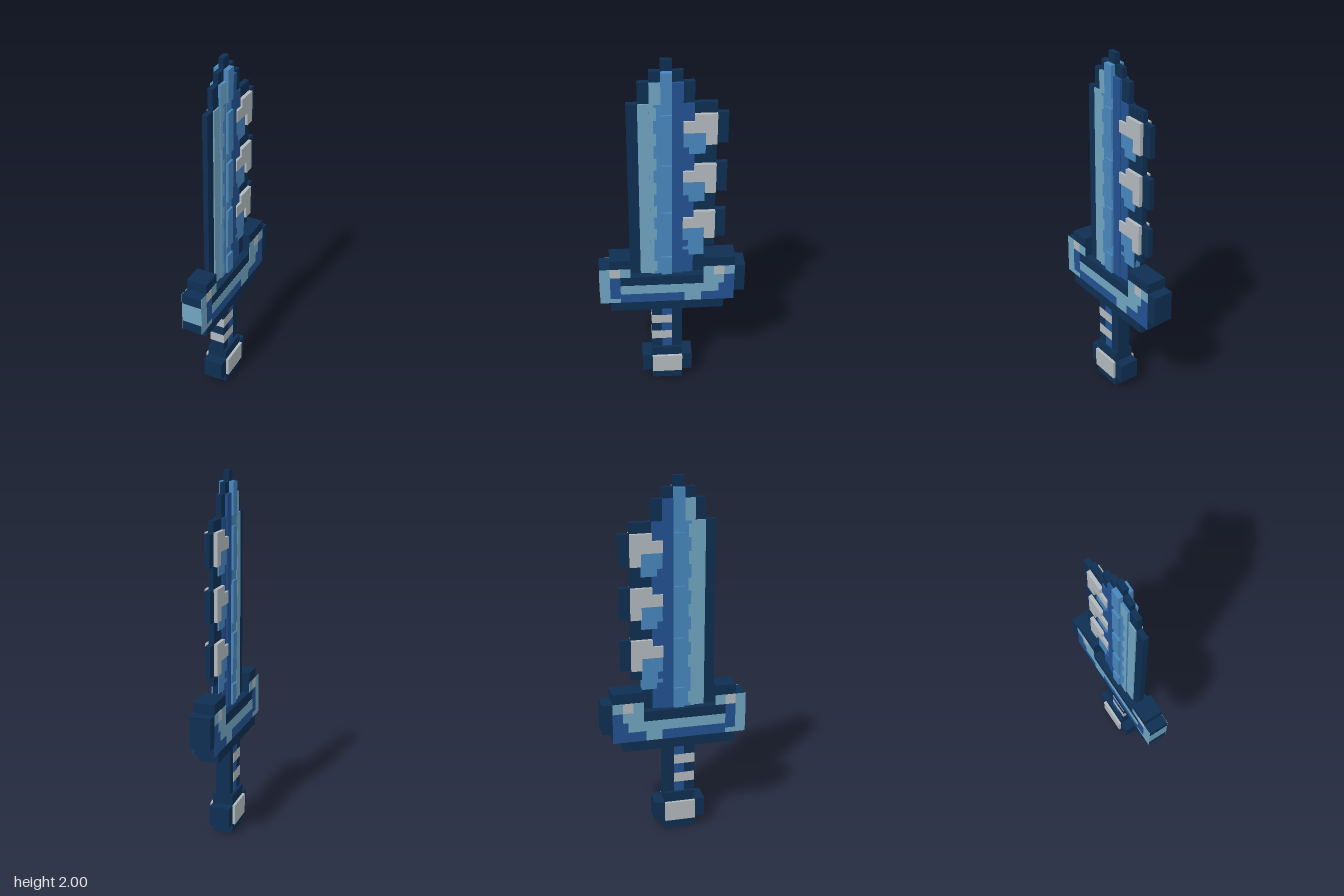
import * as THREE from 'three';

const U = 2 / 35; // one grid cell

export function createModel() {
  const root = new THREE.Group();
  root.name = 'pixelSword';
  const mat = (name, color) => {
    const m = new THREE.MeshStandardMaterial({ color });
    m.name = name;
    return m;
  };
  const navy = mat('navy', 0x0e2f52);
  const dark = mat('deepBlue', 0x225192);
  const mid = mat('midBlue', 0x4886bd);
  const light = mat('paleBlue', 0x70a4c0);
  const grey = mat('silver', 0xb1b8bd);

  const group = (name) => {
    const g = new THREE.Group();
    g.name = name;
    root.add(g);
    return g;
  };
  // Block over cells z0..z1, y0..y1, centred on x with half width hw
  const block = (g, name, m, z0, z1, y0, y1, hw) => {
    const mesh = new THREE.Mesh(new THREE.BoxGeometry(hw * 2, (y1 - y0) * U, (z1 - z0) * U), m);
    mesh.position.set(0, (y0 + y1) * U / 2, (z0 + z1) * U / 2);
    mesh.name = name;
    g.add(mesh);
    return mesh;
  };
  // Mirrored pair of thin painted plates lying on a surface at half width hw
  const T = 0.003;
  const paint = (g, name, m, z0, z1, y0, y1, hw) => {
    for (const s of [-1, 1]) block(g, name, m, z0, z1, y0, y1, T / 2).position.x = s * (hw + 0.0015 - T / 2);
  };
  // Outline in (z, y) cells extruded across x
  const slab = (g, name, m, pts, hw) => {
    const shape = new THREE.Shape(pts.map(([z, y]) => new THREE.Vector2(-z * U, y * U)));
    const geo = new THREE.ExtrudeGeometry(shape, { depth: hw * 2, bevelEnabled: false });
    geo.translate(0, 0, -hw);
    geo.rotateY(Math.PI / 2);
    const mesh = new THREE.Mesh(geo, m);
    mesh.name = name;
    g.add(mesh);
  };

  // Blade core with stepped tip and three teeth
  const blade = group('blade');
  const outline = [[4, 12.5], [4, 31], [3, 31], [3, 33], [2, 33], [2, 34], [1, 34], [1, 35],
    [0, 35], [0, 34], [-1, 34], [-1, 33], [-2, 33], [-2, 31]];
  for (const t of [30, 25, 20]) {
    outline.push([-4, t + 1], [-4, t], [-5, t], [-5, t - 3], [-4, t - 3], [-4, t - 4]);
    if (t === 20) outline.push([-3, t - 4]);
  }
  outline.push([-3, 12.5]);
  slab(blade, 'bladeEdge', navy, outline, 0.0143);

  // Stepped layers of the blade
  block(blade, 'outerBevel', light, 2, 3, 13, 31, 0.021);
  block(blade, 'innerBevel', mid, 1, 2, 13, 33, 0.028);
  block(blade, 'ridgeBase', mid, 0, 1, 13, 34, 0.029);
  block(blade, 'shadeBand', dark, -1, 0, 13, 33, 0.028);
  block(blade, 'shadeFoot', dark, -2, -1, 13, 15, 0.021);
  for (const [a, b] of [[13, 15], [16, 20], [21, 25], [26, 30], [31, 34]]) {
    block(blade, 'ridgeSegment', mid, 0, 1, a, b, 0.04);
  }
  // Wavy highlight on the inner bevel
  paint(blade, 'highlight', light, 1.65, 2, 13, 31, 0.028);
  paint(blade, 'highlightTip', light, 1, 2, 31, 33, 0.028);
  for (const y of [13.3, 17, 19.5, 22, 24.5, 27, 29.5]) {
    paint(blade, 'highlightBump', light, 1.4, 1.65, y, y + 1.2, 0.028);
  }

  // Teeth: blue hollow, silver stepped plate
  for (const t of [30, 25, 20]) {
    block(blade, 'toothShade', dark, -2, -1, t - 1, t + 1, 0.021);
    block(blade, 'toothHollow', mid, -3, -1, t - 4, t - 1, 0.021);
    paint(blade, 'hollowShade', dark, -1.5, -1, t - 4, t - 3.3, 0.021);
    block(blade, 'toothTop', grey, -4, -2, t - 1, t, 0.034);
    block(blade, 'toothStep', grey, -4, -1, t - 1.8, t - 0.7, 0.034);
    block(blade, 'toothLeg', grey, -4, -3, t - 3, t - 1, 0.034);
  }
  block(blade, 'toothFoot', mid, -3, -1, 15, 16, 0.021);
  paint(blade, 'footShade', dark, -1.6, -1, 15, 15.6, 0.021);

  // Cross guard
  const guard = group('guard');
  slab(guard, 'guardBody', navy, [[6, 9], [6, 10], [7, 10], [7, 14], [6, 14], [6, 15], [4, 15], [4, 13],
    [-3, 13], [-3, 15], [-6, 15], [-6, 14], [-7, 14], [-7, 11], [-6, 11], [-6, 10], [-5, 10], [-5, 9]], U);
  const guardPaint = [
    [light, 6, 7, 10, 14], [grey, 5, 6, 13, 14], [light, 4, 5, 13, 14],
    [dark, 5, 6, 10.5, 13], [light, 5, 6, 10, 10.5],
    [light, -4, 5, 11, 12], [dark, -1.2, 5, 10, 11], [light, -2.8, -1.2, 10, 11],
    [dark, -6, -2.8, 10, 11], [dark, -6, -4.5, 11, 12], [light, -4.5, -4, 11, 12],
    [light, -5, -3, 12, 13], [dark, -6, -5, 12, 13],
    [light, -4, -3, 13, 14], [grey, -5, -4, 13, 14], [light, -6, -5, 13, 14],
  ];
  for (const [m, z0, z1, y0, y1] of guardPaint) paint(guard, 'guardInlay', m, z0, z1, y0, y1, U);
  block(guard, 'guardEndBand', light, 6.98, 7.02, 11, 13, U);

  // Grip with wrapped bands
  const grip = group('grip');
  block(grip, 'gripCore', navy, -1, 2, 3.5, 9.5, 0.041);
  for (const y of [5, 7]) block(grip, 'gripBand', grey, 0, 2.02, y, y + 1, 0.0425);
  for (const y of [4, 6, 8]) paint(grip, 'gripInlay', dark, 0, 1, y, y + 1, 0.041);

  // Pommel
  const pommel = group('pommel');
  block(pommel, 'pommelCore', navy, -1, 2, 0, 4, U);
  block(pommel, 'pommelCollar', navy, -2, 3, 1, 3, U - 0.0005);
  block(pommel, 'pommelPlate', grey, -1, 2, 1, 3, 0.0725);

  return root;
}
